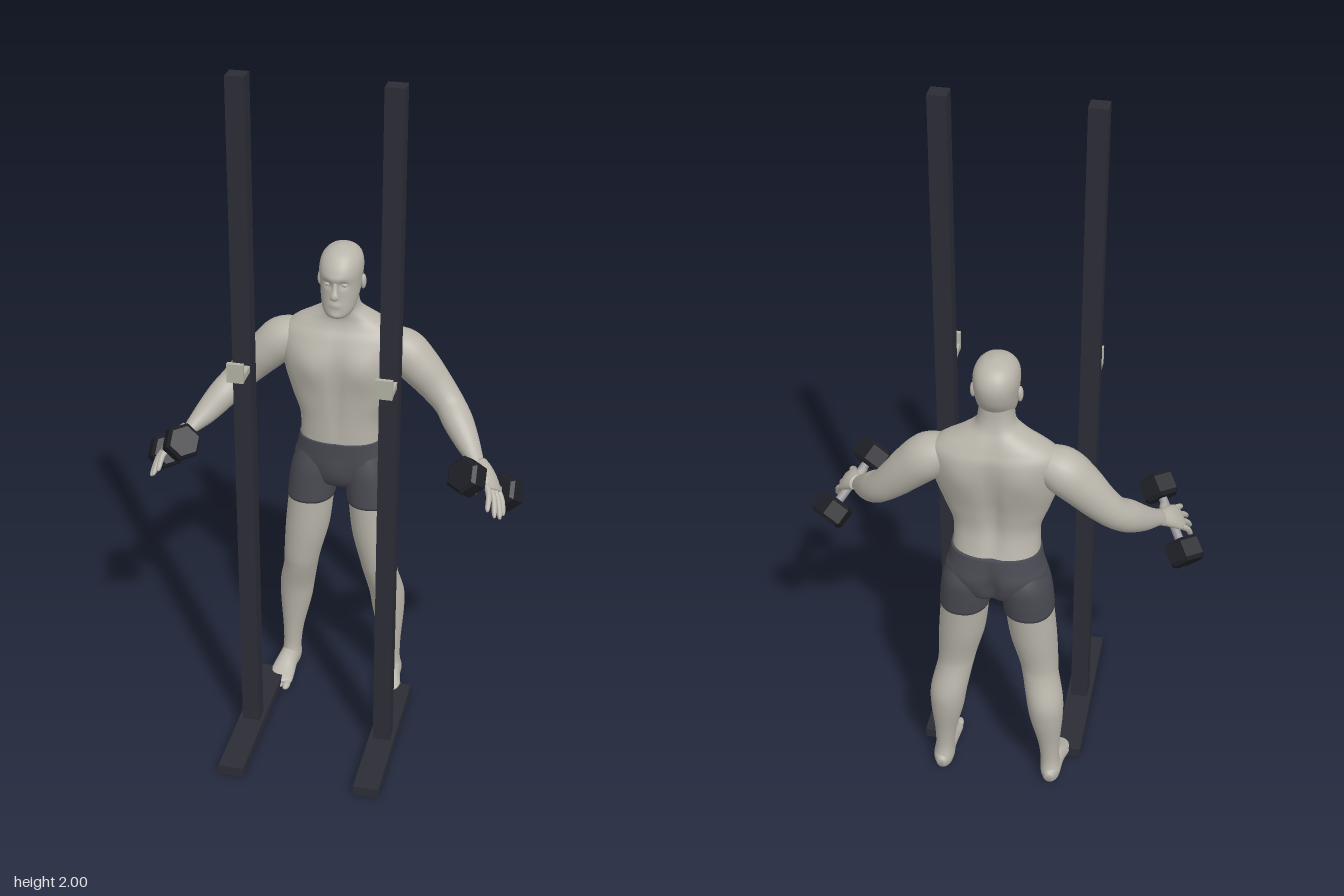
import * as THREE from 'three';

const mat = (name, color) => {
  const m = new THREE.MeshStandardMaterial({ color });
  m.name = name;
  return m;
};
const V = (x, y, z) => new THREE.Vector3(x, y, z);
const bump = (x, cx, w) => Math.exp(-(((x - cx) / w) ** 2));

// Catmull-Rom interpolation of rows of numbers
function smoothRows(rows, sub) {
  const out = [], at = i => rows[Math.max(0, Math.min(rows.length - 1, i))];
  for (let i = 0; i < rows.length - 1; i++) {
    for (let k = 0; k < sub; k++) {
      const t = k / sub;
      out.push(rows[i].map((b, c) => {
        const a = at(i - 1)[c], d = at(i + 1)[c], e = at(i + 2)[c];
        return b + 0.5 * t * (d - a + t * (2 * a - 5 * b + 4 * d - e + t * (3 * (b - d) + e - a)));
      }));
    }
  }
  out.push(rows[rows.length - 1]);
  return out;
}

// Closed smooth skin over rings of points, with end caps
function skinRings(rings) {
  const n = rings[0].length, pos = [], idx = [];
  rings.forEach(r => r.forEach(p => pos.push(p.x, p.y, p.z)));
  for (let i = 0; i < rings.length - 1; i++) {
    for (let j = 0; j < n; j++) {
      const a = i * n + j, b = i * n + (j + 1) % n;
      idx.push(a, b, a + n, b, b + n, a + n);
    }
  }
  [0, rings.length - 1].forEach((r, end) => {
    const c = rings[r].reduce((s, p) => s.add(p), V(0, 0, 0)).divideScalar(n);
    const ci = pos.length / 3;
    pos.push(c.x, c.y, c.z);
    for (let j = 0; j < n; j++) {
      const a = r * n + j, b = r * n + (j + 1) % n;
      if (end) idx.push(a, b, ci); else idx.push(b, a, ci);
    }
  });
  const g = new THREE.BufferGeometry();
  g.setAttribute('position', new THREE.Float32BufferAttribute(pos, 3));
  g.setIndex(idx);
  g.computeVertexNormals();
  return g;
}

// Upright loft; rows are [y, centreX, halfWidth, zFront, zBack]
function loft(rows, { n = 40, power = 2, shape } = {}) {
  const f = v => Math.sign(v) * Math.abs(v) ** (2 / power);
  return skinRings(smoothRows(rows, 6).map(([y, cx, rx, zf, zb]) =>
    Array.from({ length: n }, (_, j) => {
      const a = j / n * Math.PI * 2, s = -Math.sin(a);
      const p = V(cx + rx * f(Math.cos(a)), y, (zf + zb) / 2 + (zf - zb) / 2 * f(s));
      if (shape) p.z += shape(p.x, y, s);
      return p;
    })));
}

// Sweep of ellipses; rows are [x, y, z, halfWidth, halfThickness]
function sweep(rows, side, sub = 5, n = 16) {
  const rs = smoothRows(rows, sub), pts = rs.map(r => V(r[0], r[1], r[2]));
  return skinRings(rs.map((r, i) => {
    const t = pts[Math.min(i + 1, pts.length - 1)].clone().sub(pts[Math.max(i - 1, 0)]).normalize();
    const u = side.clone().addScaledVector(t, -side.dot(t)).normalize(), w = t.clone().cross(u);
    return Array.from({ length: n }, (_, j) => {
      const a = j / n * Math.PI * 2;
      return pts[i].clone().addScaledVector(u, r[3] * Math.cos(a)).addScaledVector(w, r[4] * Math.sin(a));
    });
  }));
}

// Copy of an indexed geometry reflected in x, with its faces turned back outwards
function mirrored(g) {
  const m = g.clone().scale(-1, 1, 1), ix = m.index.array;
  for (let i = 0; i < ix.length; i += 3) [ix[i], ix[i + 1]] = [ix[i + 1], ix[i]];
  return m;
}

function faceted(g) {
  const f = g.toNonIndexed();
  f.computeVertexNormals();
  return f;
}

export function createModel() {
  const root = new THREE.Group();
  const skin = mat('skin', 0xb8b4aa), cloth = mat('shorts grey', 0x4a4a53);
  const steel = mat('dark steel', 0x2c2c36), pale = mat('pale hook', 0xb4b2a4);
  const iron = mat('black iron', 0x1e1f25), chrome = mat('grip metal', 0x96969a);
  const add = (name, g, m) => {
    const mesh = new THREE.Mesh(g, m);
    mesh.name = name;
    root.add(mesh);
  };
  const pair = (name, g, m, finish = x => x) => {
    add('left' + name, finish(g), m);
    add('right' + name, finish(mirrored(g)), m);
  };
  const box = (w, h, d, x, y, z) => new THREE.BoxGeometry(w, h, d).translate(x, y, z);
  const ball = (r, sx, sy, sz, x, y, z) =>
    new THREE.SphereGeometry(r, 14, 10).scale(sx, sy, sz).translate(x, y, z);

  // Rack stands
  pair('Base', box(0.073, 0.03, 0.488, 0.197, 0.02, 0.081), steel);
  pair('Post', box(0.05, 1.967, 0.048, 0.197, 1.0165, 0.082), steel);
  pair('HookShelf', box(0.045, 0.018, 0.066, 0.197, 1.21, 0.138), pale);
  pair('HookLip', box(0.045, 0.054, 0.012, 0.197, 1.226, 0.166), pale);

  // Torso with chest, spine and shoulder blades
  const torsoShape = (x, y, s) => s > 0
    ? s * (0.013 * bump(Math.abs(x), 0.075, 0.05) * bump(y, 1.1, 0.055)
      - 0.007 * bump(x, 0, 0.014) * bump(y, 1.03, 0.14))
    : -s * (0.016 * bump(x, 0, 0.022) * bump(y, 1.02, 0.17)
      - 0.009 * bump(Math.abs(x), 0.085, 0.04) * bump(y, 1.13, 0.06));
  add('torso', loft([
    [0.85, 0, 0.118, -0.146, -0.306], [0.93, 0, 0.117, -0.144, -0.287], [1.0, 0, 0.14, -0.14, -0.292],
    [1.07, 0, 0.162, -0.137, -0.306], [1.13, 0, 0.172, -0.141, -0.314], [1.18, 0, 0.168, -0.158, -0.314],
    [1.21, 0, 0.14, -0.175, -0.303], [1.235, 0, 0.095, -0.182, -0.291], [1.26, 0, 0.056, -0.178, -0.278],
    [1.29, 0, 0.046, -0.168, -0.27], [1.33, 0, 0.044, -0.165, -0.268],
  ], { n: 64, power: 2.3, shape: torsoShape }), skin);

  // Head with brow, eye sockets and mouth
  const headShape = (x, y, s) => s <= 0 ? 0 : s * (
    -0.009 * bump(Math.abs(x), 0.023, 0.011) * bump(y, 1.362, 0.009)
    + 0.004 * bump(x, 0, 0.035) * bump(y, 1.38, 0.008)
    + 0.004 * bump(x, 0, 0.016) * bump(y, 1.304, 0.007)
    + 0.004 * bump(x, 0, 0.014) * bump(y, 1.273, 0.009));
  add('head', loft([
    [1.258, 0, 0.02, -0.145, -0.19], [1.267, 0, 0.034, -0.13, -0.215], [1.285, 0, 0.045, -0.127, -0.24],
    [1.315, 0, 0.052, -0.129, -0.266], [1.35, 0, 0.056, -0.13, -0.287], [1.39, 0, 0.059, -0.129, -0.295],
    [1.42, 0, 0.053, -0.146, -0.285], [1.44, 0, 0.035, -0.17, -0.262], [1.45, 0, 0.008, -0.205, -0.225],
  ], { n: 64, power: 2.2, shape: headShape }), skin);
  add('nose', sweep([[0, 1.372, -0.133, 0.006, 0.004], [0, 1.35, -0.127, 0.007, 0.007],
    [0, 1.332, -0.12, 0.012, 0.009], [0, 1.323, -0.124, 0.008, 0.005]], V(1, 0, 0)), skin);
  pair('Eye', ball(0.008, 1.2, 0.7, 0.7, 0.023, 1.361, -0.142), skin);
  pair('Ear', ball(0.02, 0.4, 1.1, 0.65, 0.06, 1.345, -0.215), skin);

  // Shorts: pelvis and two short legs
  add('shortsPelvis', loft([
    [0.695, 0, 0.04, -0.195, -0.26], [0.72, 0, 0.1, -0.163, -0.302], [0.78, 0, 0.137, -0.149, -0.316],
    [0.82, 0, 0.129, -0.145, -0.314], [0.862, 0, 0.121, -0.143, -0.309],
  ], {
    n: 64, power: 2.3, shape: (x, y, s) => s > 0
      ? 0.008 * s * bump(x, 0, 0.035) * bump(y, 0.755, 0.04)
      : -s * (0.018 * bump(x, 0, 0.014) * bump(y, 0.76, 0.06)
        - 0.008 * bump(Math.abs(x), 0.065, 0.04) * bump(y, 0.775, 0.05)),
  }), cloth);
  pair('ShortsLeg', loft([
    [0.654, 0.089, 0.069, -0.144, -0.306], [0.72, 0.083, 0.069, -0.146, -0.314],
    [0.77, 0.076, 0.066, -0.15, -0.314], [0.83, 0.065, 0.055, -0.165, -0.285],
  ], { power: 2.2 }), cloth);

  // Legs from foot to thigh
  pair('Leg', loft([
    [0.01, 0.16, 0.025, -0.2, -0.28], [0.035, 0.159, 0.03, -0.195, -0.284], [0.08, 0.156, 0.027, -0.208, -0.272],
    [0.15, 0.152, 0.032, -0.206, -0.277], [0.25, 0.144, 0.047, -0.196, -0.296], [0.32, 0.138, 0.052, -0.186, -0.3],
    [0.4, 0.122, 0.051, -0.165, -0.279], [0.45, 0.115, 0.055, -0.156, -0.275], [0.55, 0.1, 0.065, -0.148, -0.29],
    [0.67, 0.088, 0.066, -0.147, -0.303],
  ]), skin);
  pair('Foot', sweep([
    [0.16, 0.03, -0.285, 0.012, 0.015], [0.16, 0.035, -0.255, 0.028, 0.032], [0.162, 0.037, -0.2, 0.031, 0.034],
    [0.166, 0.026, -0.155, 0.037, 0.023], [0.167, 0.018, -0.118, 0.038, 0.014], [0.166, 0.015, -0.105, 0.032, 0.01],
  ], V(1, 0, 0)), skin);
  for (let i = 0; i < 5; i++) {
    const r = i ? 0.008 : 0.012;
    pair('Toe' + (i + 1), ball(r, 1, 0.9, 2, 0.143 + i * 0.0145 + (i ? 0.003 : 0), r + 0.003,
      -0.104 - i * 0.006), skin);
  }

  // Arms
  pair('Arm', sweep([
    [0.11, 1.165, -0.237, 0.045, 0.04], [0.17, 1.14, -0.237, 0.063, 0.061], [0.22, 1.095, -0.233, 0.06, 0.058],
    [0.268, 1.043, -0.228, 0.049, 0.05], [0.31, 0.998, -0.212, 0.044, 0.043], [0.342, 0.963, -0.177, 0.045, 0.042],
    [0.378, 0.924, -0.132, 0.035, 0.033], [0.408, 0.897, -0.09, 0.025, 0.02], [0.42, 0.886, -0.073, 0.025, 0.016],
  ], V(0, 0, 1), 6, 24), skin);

  // Hands: the width runs along the dumbbell, the fingers point forward and down
  const grip = V(0.475, -0.58, -0.66).normalize(), reach = V(0.45, -0.54, 0.72).normalize();
  const back = reach.clone().cross(grip).normalize();
  const hold = V(0.446, 0.855, -0.04), palm = hold.clone().addScaledVector(back, 0.014);
  const hand = (r, g, b, w, t) => [...palm.clone().addScaledVector(reach, r)
    .addScaledVector(grip, g).addScaledVector(back, b).toArray(), w, t];
  pair('Palm', sweep([hand(-0.065, 0, -0.008, 0.021, 0.018), hand(-0.035, 0, 0, 0.03, 0.017),
    hand(0, 0, 0.002, 0.037, 0.014), hand(0.028, 0, 0, 0.035, 0.01)], grip), skin);
  [0.078, 0.09, 0.088, 0.07].forEach((len, i) => {
    const o = (i - 1.5) * 0.018;
    pair('Finger' + (i + 1), sweep([hand(0.015, o, 0, 0.009, 0.009), hand(0.015 + len * 0.45, o * 1.25, -0.002, 0.008, 0.008),
      hand(0.012 + len * 0.9, o * 1.5, -0.014, 0.007, 0.007), hand(0.015 + len, o * 1.55, -0.018, 0.003, 0.003)],
    grip, 4, 10), skin);
  });
  pair('Thumb', sweep([hand(-0.04, -0.015, -0.006, 0.013, 0.012), hand(-0.012, -0.04, -0.014, 0.011, 0.011),
    hand(0.02, -0.052, -0.024, 0.009, 0.009), hand(0.036, -0.054, -0.028, 0.004, 0.004)], back, 4, 10), skin);

  // Hexagonal dumbbells with bevelled heads
  const turn = new THREE.Quaternion().setFromUnitVectors(V(0, 1, 0), grip);
  const rod = (r0, r1, h, sides, along) => new THREE.CylinderGeometry(r0, r1, h, sides)
    .translate(0, along, 0).applyQuaternion(turn).translate(hold.x, hold.y, hold.z);
  pair('DumbbellGrip', rod(0.012, 0.012, 0.15, 16, 0), chrome);
  [['Upper', -1], ['Lower', 1]].forEach(([end, s]) => {
    const wide = 0.053, slim = 0.043;
    pair(`Dumbbell${end}Head`, rod(wide, wide, 0.046, 6, s * 0.095), iron, faceted);
    pair(`Dumbbell${end}LowBevel`, rod(wide, slim, 0.01, 6, s * 0.095 - 0.028), iron, faceted);
    pair(`Dumbbell${end}HighBevel`, rod(slim, wide, 0.01, 6, s * 0.095 + 0.028), iron, faceted);
  });
  return root;
}
